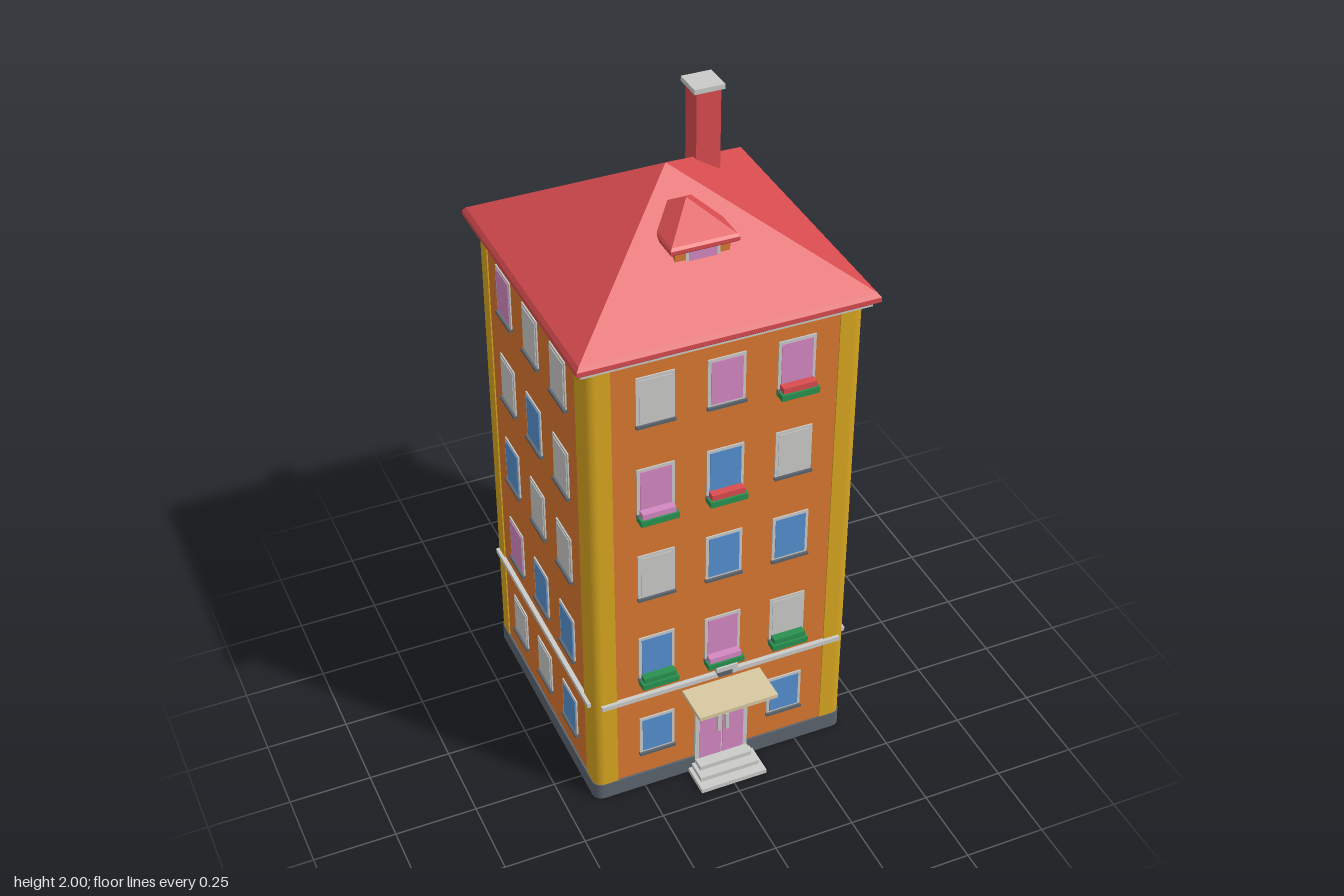
import * as THREE from 'three';

const paint = (name, color) => Object.assign(new THREE.MeshStandardMaterial({ color }), { name });

export function createModel() {
  const orange = paint('wallOrange', 0xd9772f);
  const yellow = paint('cornerYellow', 0xd6a520);
  const red = paint('roofRed', 0xd94c4f);
  const slate = paint('slateGrey', 0x5c646e);
  const light = paint('lightGrey', 0xcacac8);
  const beige = paint('canopyBeige', 0xd6c8a0);
  const pink = paint('pink', 0xd488c2);
  const blue = paint('glassBlue', 0x5590cf);
  const green = paint('boxGreen', 0x2a9150);

  const model = new THREE.Group();
  model.name = 'apartmentBuilding';
  const house = new THREE.Group();
  house.name = 'house';
  house.position.z = -0.046;
  model.add(house);

  const add = (parent, name, geo, mat, x = 0, y = 0, z = 0) => {
    const m = new THREE.Mesh(geo, mat);
    m.name = name;
    m.position.set(x, y, z);
    parent.add(m);
    return m;
  };
  // Box given by its ranges in x, y and z
  const box = (parent, name, mat, x0, x1, y0, y1, z0, z1) =>
    add(parent, name, new THREE.BoxGeometry(x1 - x0, y1 - y0, z1 - z0), mat,
      (x0 + x1) / 2, (y0 + y1) / 2, (z0 + z1) / 2);
  // Upright prism from a plan outline
  const prism = (shape, h) =>
    new THREE.ExtrudeGeometry(shape, { depth: h, bevelEnabled: false, curveSegments: 5 }).rotateX(-Math.PI / 2);
  // Square stepped solid from [half width, y] pairs, bottom to top
  const squareLathe = (pts) => {
    const g = new THREE.LatheGeometry(pts.map(([h, y]) => new THREE.Vector2(h * Math.SQRT2, y)), 4, Math.PI / 4);
    const flat = g.toNonIndexed();
    flat.computeVertexNormals();
    return flat;
  };

  const H = 0.41;      // half width of the house
  const W = 0.404;     // wall plane
  const R = 0.03;      // corner radius

  // Plinth with rounded corners
  const plan = new THREE.Shape();
  plan.absarc(H - R, H - R, R, 0, Math.PI / 2);
  plan.absarc(R - H, H - R, R, Math.PI / 2, Math.PI);
  plan.absarc(R - H, R - H, R, Math.PI, Math.PI * 1.5);
  plan.absarc(H - R, R - H, R, Math.PI * 1.5, Math.PI * 2);
  add(house, 'plinth', prism(plan, 0.055), slate);

  box(house, 'walls', orange, -W, W, 0.05, 1.565, -W, W).scale.set(0.999, 1, 0.999);
  house.children[1].scale.set(1, 1, 1);
  house.remove(house.children[1]);
  // Walls as two crossing blocks so the rounded corners stay clear
  box(house, 'wallsAcross', orange, -W, W, 0.05, 1.565, -0.36, 0.36);
  box(house, 'wallsDeep', orange, -0.36, 0.36, 0.05, 1.565, -W, W);

  // Rounded corner pillars
  const corner = new THREE.Shape();
  corner.moveTo(0.335, 0.335);
  corner.lineTo(H - 0.002, 0.335);
  corner.absarc(H - R - 0.002, H - R - 0.002, R, 0, Math.PI / 2);
  corner.lineTo(0.335, H - 0.002);
  for (let i = 0; i < 4; i++)
    add(house, 'cornerPillar', prism(corner, 1.51), yellow, 0, 0.055, 0).rotation.y = i * Math.PI / 2;

  // Window grids per side, top row first, left to right as seen from outside
  const glass = { g: light, p: pink, b: blue };
  const sides = [
    { name: 'front', turn: 0, rows: ['gpp', 'pbg', 'gbb', 'bpg', 'b-b'],
      boxes: { '02': red, '10': pink, '11': red, '30': green, '31': pink, '32': green } },
    { name: 'left', turn: 1, rows: ['bgb', 'bbg', 'bpb', 'ggg', 'bbb'],
      boxes: { '01': red, '02': red, '30': red } },
    { name: 'back', turn: 2, rows: ['gbp', 'ppg', 'bbg', 'ggg', 'ggp'], boxes: {} },
    { name: 'right', turn: 3, rows: ['pgg', 'gbg', 'bgg', 'pbb', 'ggb'], boxes: {} },
  ];
  const sill = [1.35, 1.048, 0.745, 0.44, 0.14];

  for (const { name, turn, rows, boxes } of sides) {
    const side = new THREE.Group();
    side.name = name + 'Side';
    side.rotation.y = turn * Math.PI / 2;
    house.add(side);
    box(side, 'stringCourse', light, -0.385, 0.385, 0.363, 0.378, 0.39, 0.418);
    rows.forEach((row, r) => [...row].forEach((kind, c) => {
      if (kind === '-') return;
      const x = (c - 1) * 0.208, y = sill[r], top = y + (r === 4 ? 0.138 : 0.155);
      box(side, 'windowFrame', light, x - 0.056, x + 0.056, y, top, W - 0.01, W + 0.004);
      box(side, 'windowPane', glass[kind], x - 0.047, x + 0.047, y + 0.009, top - 0.009, W, W + 0.006);
      box(side, 'windowSill', slate, x - 0.058, x + 0.058, y - 0.007, y + 0.002, W - 0.01, W + 0.011);
      const plant = boxes[`${r}${c}`];
      if (!plant) return;
      box(side, 'flowerBox', green, x - 0.057, x + 0.057, y - 0.019, y, W, W + 0.036);
      box(side, 'flowers', plant, x - 0.05, x + 0.05, y, y + 0.018, W + 0.006, W + 0.03);
    }));
  }

  // Entrance: frame, two leaves, handles, steps, canopy and lamp
  const door = new THREE.Group();
  door.name = 'entrance';
  house.add(door);
  box(door, 'doorFrame', light, -0.086, 0.086, 0.04, 0.31, 0.39, 0.412);
  for (const s of [-1, 1]) {
    const leaf = new THREE.Group();
    leaf.name = 'doorLeaf';
    door.add(leaf);
    add(leaf, 'doorPanel', new THREE.BoxGeometry(0.069, 0.245, 0.02), pink, s * 0.037, 0.17, 0.405);
    add(leaf, 'doorHandle', new THREE.BoxGeometry(0.01, 0.06, 0.012), light, s * 0.013, 0.18, 0.421);
  }
  for (let i = 0; i < 3; i++)
    box(door, 'step', light, -0.107 + i * 0.011, 0.107 - i * 0.011, i * 0.015, (i + 1) * 0.015, 0.39, 0.51 - i * 0.031);
  box(door, 'canopy', beige, -0.126, 0.126, 0.325, 0.338, 0.39, 0.531);
  box(door, 'lampHousing', light, -0.034, 0.034, 0.408, 0.424, 0.4, 0.446);
  box(door, 'lampBody', slate, -0.022, 0.022, 0.38, 0.408, 0.4, 0.436);

  // Cornice and hipped roof
  box(house, 'cornice', light, -0.422, 0.422, 1.558, 1.576, -0.422, 0.422);
  add(house, 'roof', squareLathe([[0, 1.572], [0.432, 1.572], [0.439, 1.578], [0.439, 1.592], [0.43, 1.604], [0, 1.876]]), red);

  // Dormer
  const dormer = new THREE.Group();
  dormer.name = 'dormer';
  dormer.position.z = 0.136;
  house.add(dormer);
  box(dormer, 'dormerWalls', orange, -0.08, 0.08, 1.715, 1.76, -0.08, 0.108);
  box(dormer, 'dormerFrame', light, -0.05, 0.05, 1.712, 1.755, 0.1, 0.112);
  box(dormer, 'dormerPane', pink, -0.04, 0.04, 1.72, 1.748, 0.1, 0.115);
  add(dormer, 'dormerRoof', squareLathe([[0, 1.752], [0.096, 1.752], [0.1, 1.757], [0.1, 1.768], [0.094, 1.775], [0, 1.843]]), red)
    .scale.z = 1.27;

  // Chimney with cap
  box(house, 'chimney', red, 0.15, 0.224, 1.65, 1.987, -0.206, -0.132);
  box(house, 'chimneyCap', light, 0.141, 0.233, 1.985, 2, -0.218, -0.126);

  // Bring the footprint to the middle
  model.updateMatrixWorld(true);
  const mid = new THREE.Box3().setFromObject(model).getCenter(new THREE.Vector3());
  house.position.x -= mid.x;
  house.position.z -= mid.z;
  return model;
}
